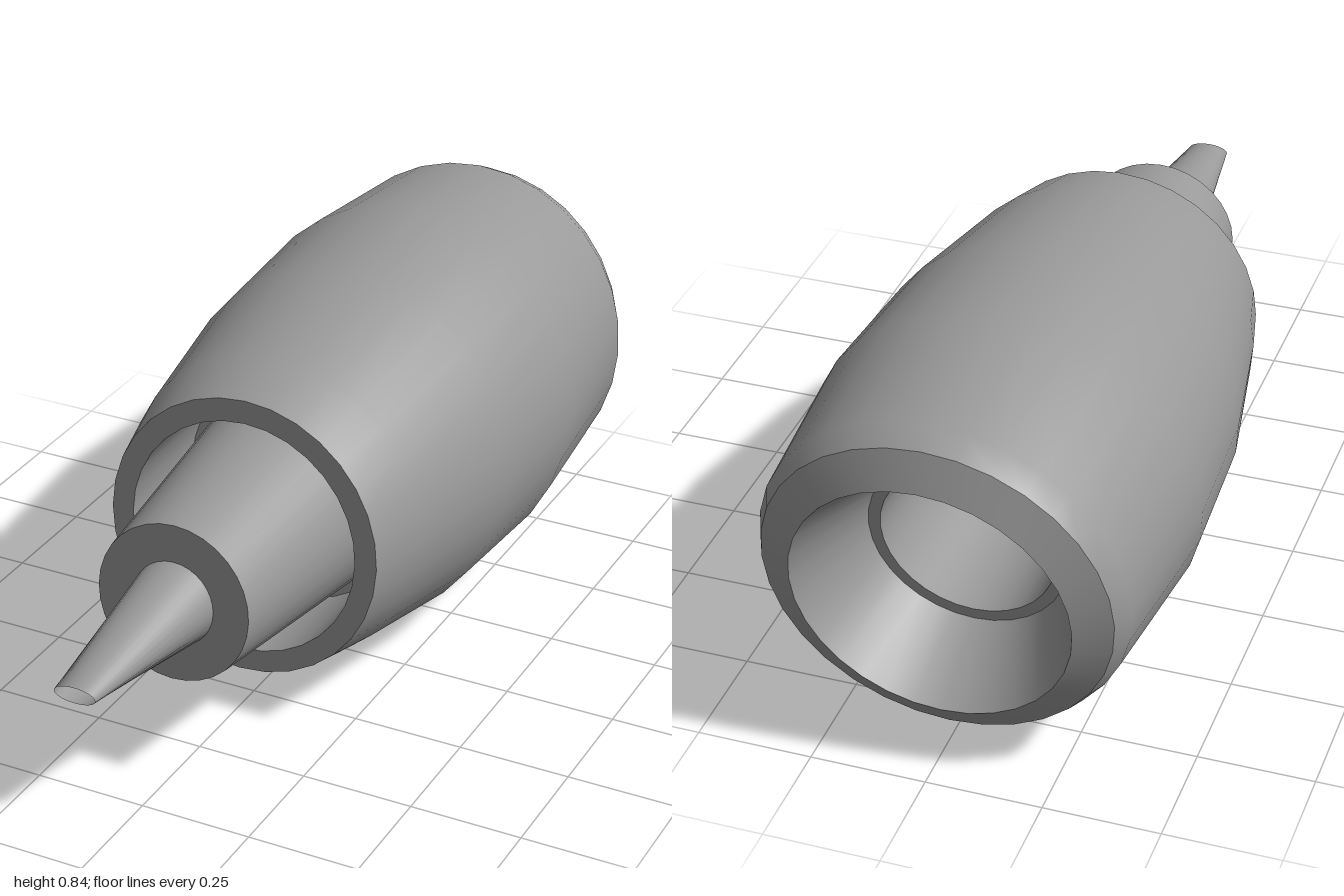
import * as THREE from 'three';

const SIDES = 32;
const material = new THREE.MeshStandardMaterial({ color: 0x999999 });

// A tilted ring: centre z, radius, centre height, lean (z lost per unit of height), vertical radius
const ring = (z, r, cy, lean = 0, ry = r) => ({ z, r, cy, lean, ry });

// Smooth skin through a series of rings; faces look outward when rings run toward the back
function loft(name, rings) {
  const pos = [], index = [];
  for (const { z, r, cy, lean, ry } of rings) {
    for (let j = 0; j < SIDES; j++) {
      const a = (j / SIDES) * Math.PI * 2;
      const dy = ry * Math.cos(a);
      pos.push(r * Math.sin(a), cy + dy, z - lean * dy);
    }
  }
  for (let i = 0; i < rings.length - 1; i++) {
    for (let j = 0; j < SIDES; j++) {
      const k = (j + 1) % SIDES;
      const a = i * SIDES + j, b = i * SIDES + k;
      const c = a + SIDES, d = b + SIDES;
      index.push(a, b, c, b, d, c);
    }
  }
  const geo = new THREE.BufferGeometry();
  geo.setAttribute('position', new THREE.Float32BufferAttribute(pos, 3));
  geo.setIndex(index);
  geo.computeVertexNormals();
  const mesh = new THREE.Mesh(geo, material);
  mesh.name = name;
  return mesh;
}

export function createModel() {
  // Rings shared by neighbouring parts
  const tip = ring(1, 0.047, 0.414, 0, 0.0175);
  const coneBase = ring(0.602, 0.094, 0.413, 0.07);
  const tubeFront = ring(0.602, 0.176, 0.414, 0.07);
  const tubeBack = ring(0.03, 0.24, 0.413, 0.1);
  const recessFloor = ring(0.03, 0.267, 0.414, 0.1);
  const recessMouth = ring(0.297, 0.267, 0.414, 0.055);
  const bodyFront = ring(0.297, 0.318, 0.415, 0.055);
  const bodyBack = ring(-0.912, 0.372, 0.42, 0.155, 0.37);
  const rearMouth = ring(-0.952, 0.2975, 0.4125, 0.16);
  const ledgeOuter = ring(-0.73, 0.214, 0.413, 0.15);
  const ledgeInner = ring(-0.73, 0.188, 0.413, 0.15);
  const boreFront = ring(0.57, 0.15, 0.414, 0.07);
  const nozzleInlet = ring(0.595, 0.09, 0.413, 0.07);

  // One closed skin, from the tip back over the outside and forward again through the bore
  const model = new THREE.Group();
  model.name = 'nozzle';
  model.add(
    loft('nozzleCone', [tip, coneBase]),
    loft('tubeFrontFace', [coneBase, tubeFront]),
    loft('innerTube', [tubeFront, tubeBack]),
    loft('recessFloor', [tubeBack, recessFloor]),
    loft('recessWall', [recessFloor, recessMouth]),
    loft('bodyFrontRim', [recessMouth, bodyFront]),
    loft('bodyShell', [
      bodyFront,
      ring(0.16, 0.351, 0.419, 0.06),
      ring(-0.16, 0.408, 0.4215, 0.149, 0.404),
      ring(-0.49, 0.426, 0.423, 0.166, 0.422),
      ring(-0.865, 0.394, 0.4265, 0.13, 0.389),
      bodyBack,
    ]),
    loft('rearChamfer', [bodyBack, rearMouth]),
    loft('rearCavity', [rearMouth, ledgeOuter]),
    loft('cavityLedge', [ledgeOuter, ledgeInner]),
    loft('bore', [ledgeInner, boreFront]),
    loft('boreEnd', [boreFront, nozzleInlet]),
    loft('nozzleInside', [nozzleInlet, tip]),
  );
  return model;
}
